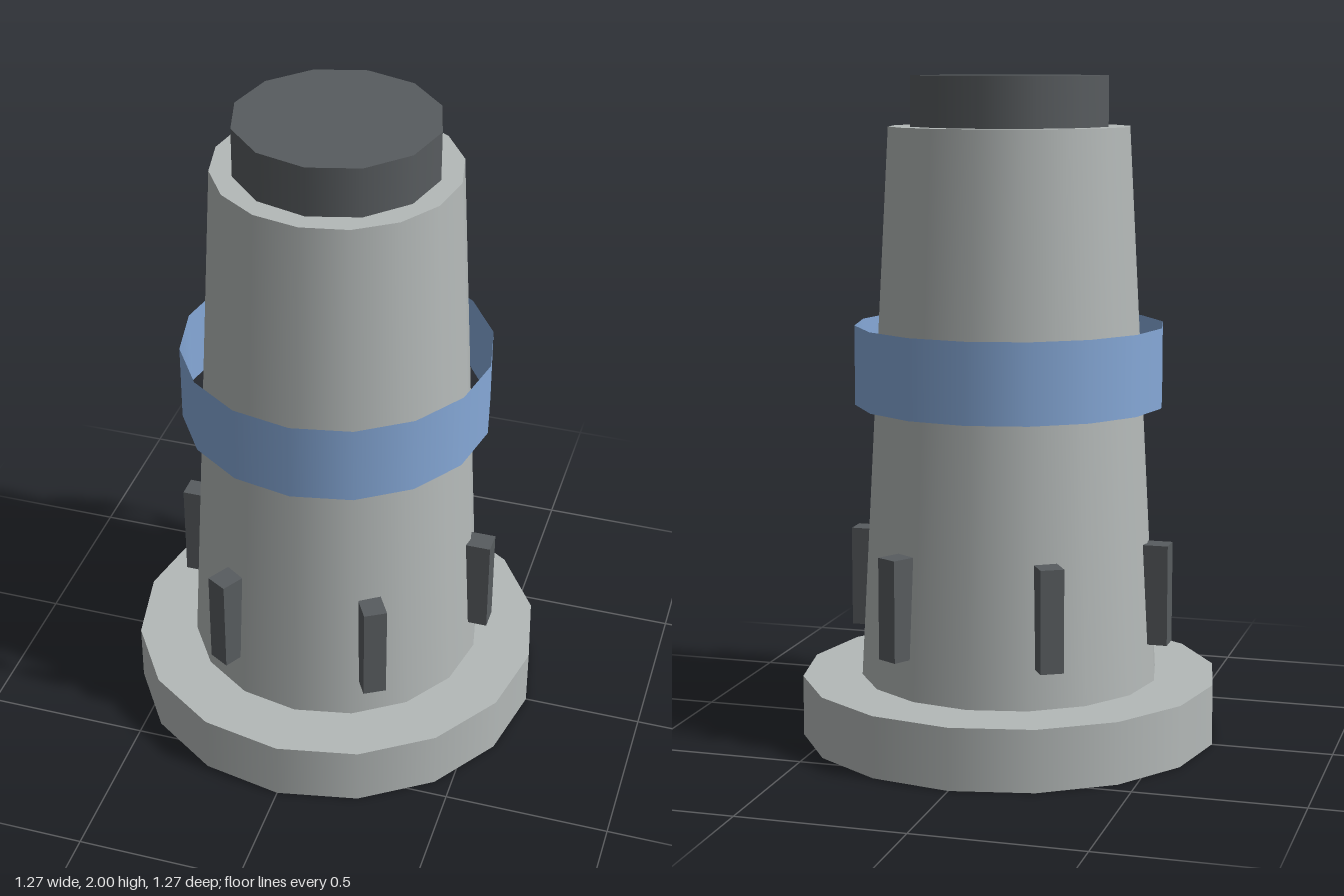
import * as THREE from 'three';

const lightGrey = new THREE.MeshStandardMaterial({ name: 'lightGrey', color: 0xb4b9b8 });
const darkGrey = new THREE.MeshStandardMaterial({ name: 'darkGrey', color: 0x585c5f });
const blue = new THREE.MeshStandardMaterial({ name: 'blue', color: 0x86a9d8, side: THREE.DoubleSide });

// Upright cylinder or cone between two heights
function drum(name, material, rTop, rBottom, y0, y1, sides, open = false) {
  const geometry = new THREE.CylinderGeometry(rTop, rBottom, y1 - y0, sides, 1, open);
  const mesh = new THREE.Mesh(geometry, material);
  mesh.name = name;
  mesh.position.y = (y0 + y1) / 2;
  return mesh;
}

export function createModel() {
  const model = new THREE.Group();
  model.name = 'tower';

  model.add(
    drum('base', lightGrey, 0.635, 0.635, 0, 0.185, 16),
    drum('taperedBody', lightGrey, 0.363, 0.454, 0.185, 1.85, 16),
    drum('topCap', darkGrey, 0.302, 0.302, 1.85, 2, 12),
    // Thin loose band, open at both ends
    drum('band', blue, 0.468, 0.468, 1.02, 1.26, 16, true)
  );

  // Six upright fins around the foot of the body
  const finGeometry = new THREE.BoxGeometry(0.08, 0.305, 0.07);
  for (let i = 0; i < 6; i++) {
    const angle = (i * Math.PI) / 3;
    const fin = new THREE.Mesh(finGeometry, darkGrey);
    fin.name = `fin${i + 1}`;
    fin.position.set(Math.cos(angle) * 0.46, 0.4575, Math.sin(angle) * 0.46);
    fin.rotation.y = -angle;
    model.add(fin);
  }

  return model;
}
